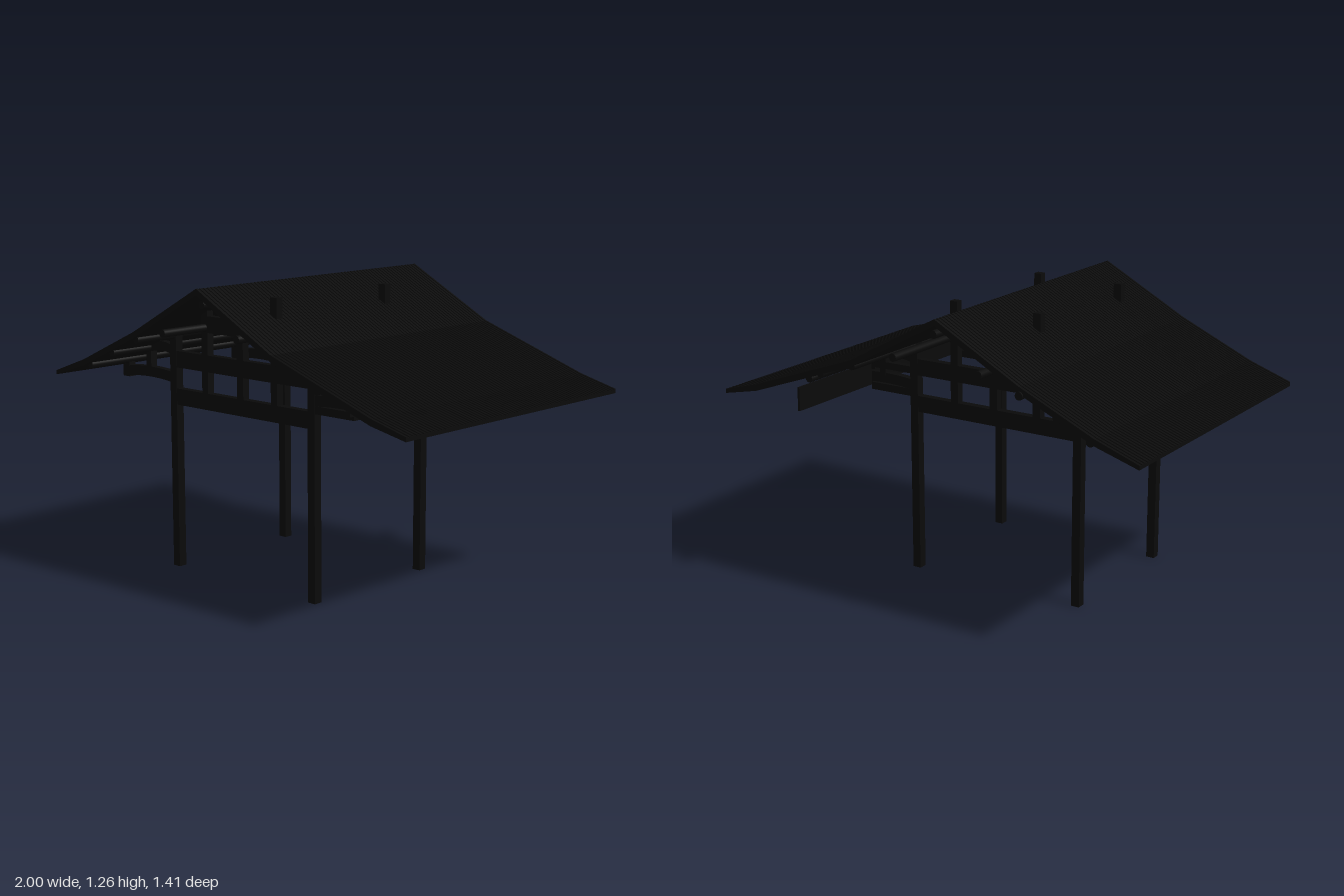
import * as THREE from 'three';

const timber = new THREE.MeshStandardMaterial({ color: 0x0a0a0a });
const FRAMES = [0.455, -0.203];

function add(parent, name, geometry, x = 0, y = 0, z = 0) {
  const mesh = new THREE.Mesh(geometry, timber);
  mesh.name = name;
  mesh.position.set(x, y, z);
  parent.add(mesh);
  return mesh;
}

// Box given by its limits in x and y, centred on z
function beam(parent, name, x0, x1, y0, y1, z = 0, depth = 0.034) {
  return add(parent, name, new THREE.BoxGeometry(x1 - x0, y1 - y0, depth),
    (x0 + x1) / 2, (y0 + y1) / 2, z);
}

// Tie beam bowed upwards, from the post outwards
function bowedBeam(parent, name, x0, x1, y, height, rise) {
  const mid = (x0 + x1) / 2;
  const s = new THREE.Shape();
  s.moveTo(x0, y);
  s.quadraticCurveTo(mid, y + rise, x1, y);
  s.lineTo(x1, y + height);
  s.quadraticCurveTo(mid, y + height + rise, x0, y + height);
  s.closePath();
  const g = new THREE.ExtrudeGeometry(s, { depth: 0.032, bevelEnabled: false, curveSegments: 10 });
  g.translate(0, 0, -0.016);
  add(parent, name, g);
}

// Bent gable section, extruded along z
const ROOF = [[-1, 0.828], [-0.81, 0.896], [-0.48, 1.046], [-0.093, 1.256],
  [0.32, 1.034], [0.83, 0.855], [1, 0.81]];
function roofSection(lift, thickness, depth) {
  const s = new THREE.Shape();
  ROOF.forEach(([x, y], i) => (i ? s.lineTo(x, y + lift) : s.moveTo(x, y + lift)));
  [...ROOF].reverse().forEach(([x, y], i) => {
    const t = i === 0 || i === ROOF.length - 1 ? thickness * 0.6 : thickness;
    s.lineTo(x, y + lift - t);
  });
  s.closePath();
  return new THREE.ExtrudeGeometry(s, { depth, bevelEnabled: false });
}

function buildRoof() {
  const roof = new THREE.Group();
  roof.name = 'roof';
  add(roof, 'roofSlab', roofSection(0, 0.024, 1.35), 0, 0, -0.655);
  // Fine tile ribs running down both slopes
  const rib = roofSection(0.004, 0.026, 0.01);
  const count = 67;
  for (let i = 0; i < count; i++) {
    add(roof, 'tileRib', rib, 0, 0, -0.655 + (i * 1.34) / (count - 1));
  }
  return roof;
}

function buildFrame(z) {
  const frame = new THREE.Group();
  frame.name = 'frame';
  frame.position.z = z;

  // Main posts
  for (const x of [-0.483, 0.324]) {
    beam(frame, 'mainPost', x - 0.019, x + 0.019, 0, 1.02, 0, 0.038);
  }

  // Cross beams
  beam(frame, 'lowerCrossBeam', -0.483, 0.324, 0.716, 0.786);
  beam(frame, 'middleCrossBeam', -0.483, 0.324, 0.877, 0.948);
  beam(frame, 'upperCrossBeam', -0.288, 0.117, 1.043, 1.113);

  // Short posts; the outer two pass up through the roof
  for (const x of [-0.288, 0.117]) {
    beam(frame, 'shortPost', x - 0.018, x + 0.018, 0.77, 1.222);
  }
  beam(frame, 'kingPost', -0.096, -0.06, 0.77, 1.2);

  // Ridge bracket
  const s = new THREE.Shape();
  s.moveTo(-0.052, 0.014);
  s.lineTo(0.052, 0.014);
  s.lineTo(0.04, -0.01);
  s.lineTo(0.015, -0.032);
  s.lineTo(-0.015, -0.032);
  s.lineTo(-0.04, -0.01);
  s.closePath();
  const g = new THREE.ExtrudeGeometry(s, { depth: 0.04, bevelEnabled: false });
  add(frame, 'ridgeBracket', g, -0.078, 1.2, -0.02);

  // Eave brackets on the -x side
  bowedBeam(frame, 'lowerEaveBeam', -0.78, -0.483, 0.808, 0.044, 0.02);
  beam(frame, 'eaveBlock', -0.812, -0.77, 0.803, 0.856);
  beam(frame, 'eavePost', -0.798, -0.772, 0.84, 0.885);
  beam(frame, 'eaveStrut', -0.657, -0.627, 0.84, 0.96);
  bowedBeam(frame, 'upperEaveBeam', -0.64, -0.483, 0.925, 0.04, 0.03);

  // Eave brackets on the +x side
  bowedBeam(frame, 'lowerEaveBeam', 0.324, 0.63, 0.808, 0.044, 0.02);
  beam(frame, 'eaveBlock', 0.615, 0.65, 0.803, 0.86);
  beam(frame, 'eaveTie', 0.324, 0.55, 0.78, 0.812);
  beam(frame, 'eaveRail', 0.324, 0.55, 0.88, 0.91);
  beam(frame, 'eaveStrut', 0.475, 0.505, 0.84, 0.97);
  bowedBeam(frame, 'upperEaveBeam', 0.324, 0.5, 0.925, 0.042, 0.03);
  beam(frame, 'eavePost', 0.532, 0.56, 0.87, 0.935);
  return frame;
}

function buildPurlins() {
  const purlins = new THREE.Group();
  purlins.name = 'purlins';
  // Round purlins: x, y, back end, front end
  const rods = [
    [-0.785, 0.878, -0.645, 0.68], [-0.64, 0.945, -0.645, 0.68],
    [-0.483, 1.015, -0.662, 0.68], [-0.288, 1.063, -0.645, 0.705],
    [-0.08, 1.195, -0.645, 0.68], [0.117, 1.075, -0.645, 0.68],
    [0.324, 1.01, -0.645, 0.68], [0.487, 0.955, -0.645, 0.68],
    [0.547, 0.925, -0.645, 0.68],
  ];
  for (const [x, y, z0, z1] of rods) {
    const g = new THREE.CylinderGeometry(0.017, 0.017, z1 - z0, 12).rotateX(Math.PI / 2);
    add(purlins, 'purlin', g, x, y, (z0 + z1) / 2);
  }
  // Long thin board beneath the +x eave
  beam(purlins, 'eaveBoard', 0.55, 0.56, 0.8, 0.9, -0.1, 1.21);
  return purlins;
}

export function createModel() {
  const model = new THREE.Group();
  model.name = 'openPavilion';
  model.add(buildRoof(), buildPurlins());
  for (const z of FRAMES) model.add(buildFrame(z));
  return model;
}
